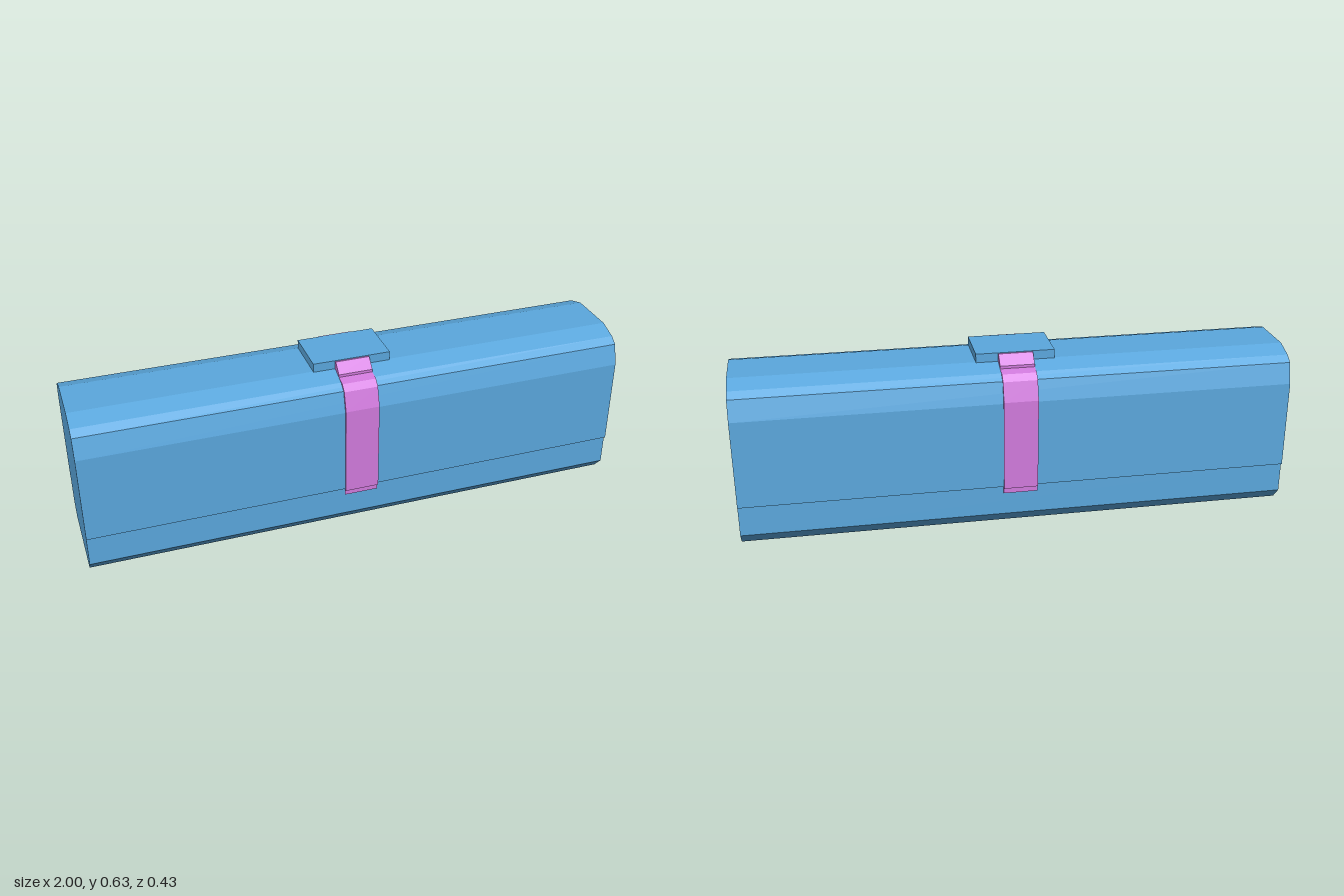
import * as THREE from 'three';

// Mirrors a half profile of [z, y] points and extrudes it along x.
function extrudeAlongX(half, x0, x1) {
  const mirrored = half.map(([z, y]) => [-z, y]).reverse();
  const shape = new THREE.Shape([...half, ...mirrored].map(([z, y]) => new THREE.Vector2(z, y)));
  const geometry = new THREE.ExtrudeGeometry(shape, { depth: x1 - x0, bevelEnabled: false });
  geometry.rotateY(Math.PI / 2);
  geometry.translate(x0, 0, 0);
  return geometry;
}

export function createModel() {
  const group = new THREE.Group();
  const blue = new THREE.MeshStandardMaterial({ color: 0x5ba8de });
  blue.name = 'blue';
  const pink = new THREE.MeshStandardMaterial({ color: 0xd27bde });
  pink.name = 'pink';

  const add = (name, geometry, material) => {
    const mesh = new THREE.Mesh(geometry, material);
    mesh.name = name;
    group.add(mesh);
  };

  // Long case with chamfered base, lid lip and faceted lid
  add('caseBody', extrudeAlongX([
    [0.158, 0], [0.198, 0.045], [0.198, 0.158], [0.206, 0.158],
    [0.206, 0.482], [0.186, 0.558], [0.158, 0.578], [0.09, 0.6],
  ], -1, 1), blue);

  // Strap wrapped over the lid, with clasp tabs and handle ramps
  add('strap', extrudeAlongX([
    [0.203, 0.13], [0.203, 0.153], [0.213, 0.153], [0.213, 0.488],
    [0.193, 0.558], [0.172, 0.579], [0.135, 0.586], [0.135, 0.596], [0.1, 0.629],
  ], -0.065, 0.059), pink);

  // Flat plate on top of the lid
  const plate = new THREE.BoxGeometry(0.284, 0.035, 0.187);
  plate.translate(-0.003, 0.6135, 0);
  add('topPlate', plate, blue);

  return group;
}
